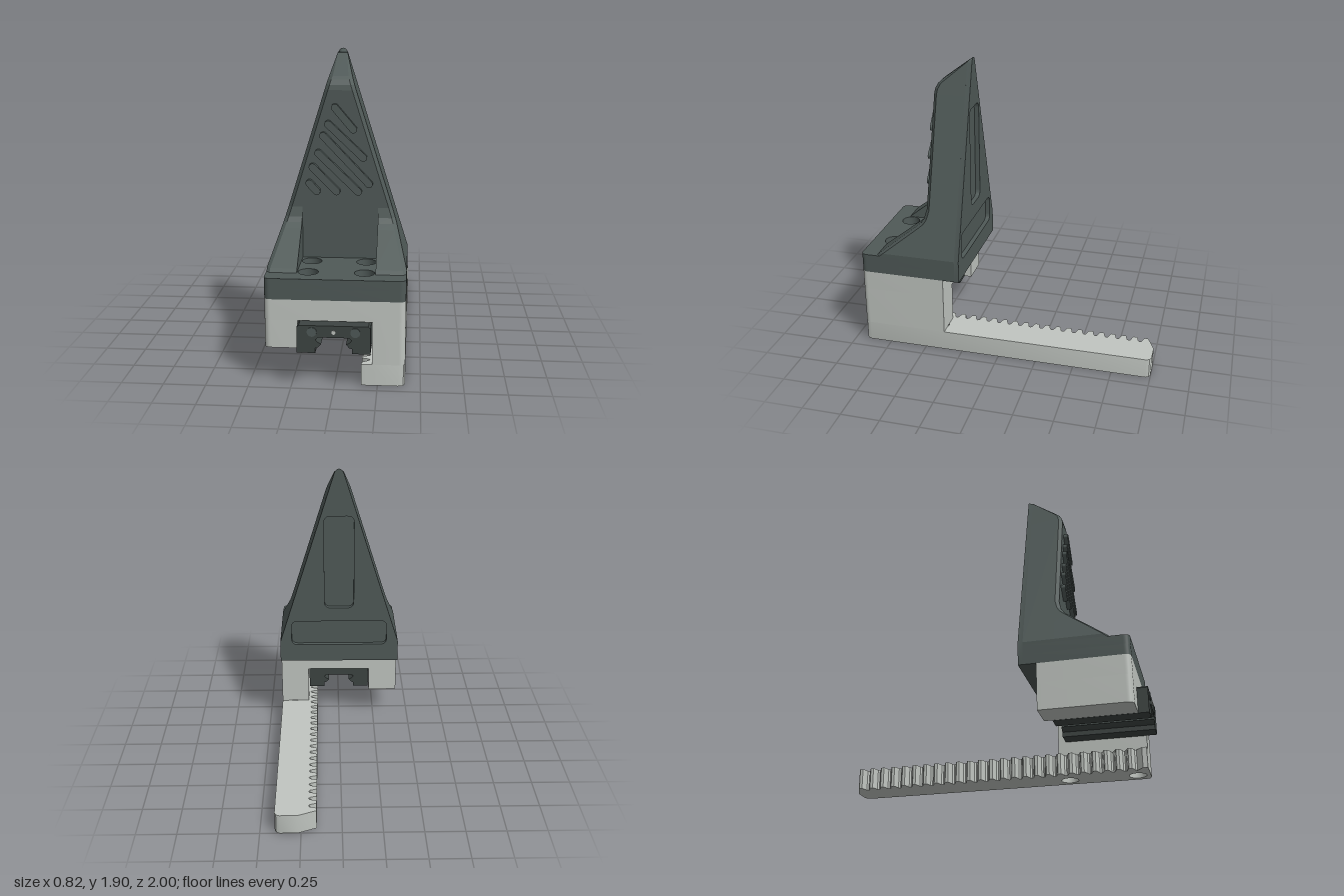
import * as THREE from 'three';
import { toCreasedNormals } from 'three/addons/utils/BufferGeometryUtils.js';

const dark = new THREE.MeshStandardMaterial({ color: 0x4f5957 });
const black = new THREE.MeshStandardMaterial({ color: 0x3d4442 });
const light = new THREE.MeshStandardMaterial({ color: 0xc0c5c0 });

const poly = (pts) => new THREE.Shape(pts.map(([a, b]) => new THREE.Vector2(a, b)));
const circle = (x, y, r) => new THREE.Path().absarc(x, y, r, 0, Math.PI * 2, true);

function extrude(shape, depth) {
  const g = new THREE.ExtrudeGeometry(shape, { depth, bevelEnabled: false, curveSegments: 10 });
  return toCreasedNormals(g, 0.6);
}

// Extrude an (x, z) outline upward from y0 to y1
const plan = (shape, y0, y1) => extrude(shape, y1 - y0).rotateX(Math.PI / 2).translate(0, y1, 0);

// Extrude an (x, y) outline from z0 to z1
const front = (shape, z0, z1) => extrude(shape, z1 - z0).translate(0, 0, z0);

// Rectangle with a radius for each corner: low-left, low-right, high-right, high-left
function rect(x0, x1, y0, y1, [a, b, c, d], Type = THREE.Shape) {
  const s = new Type();
  s.moveTo(x0 + a, y0).lineTo(x1 - b, y0);
  s.quadraticCurveTo(x1, y0, x1, y0 + b).lineTo(x1, y1 - c);
  s.quadraticCurveTo(x1, y1, x1 - c, y1).lineTo(x0 + d, y1);
  s.quadraticCurveTo(x0, y1, x0, y1 - d).lineTo(x0, y0 + a);
  s.quadraticCurveTo(x0, y0, x0 + a, y0);
  return s;
}

// Closed flat-faced solid through convex [x, y, z] rings, bottom to top
function loft(rings) {
  const v = [];
  const n = rings[0].length;
  const tri = (...p) => p.forEach((q) => v.push(...q));
  for (let i = 0; i + 1 < rings.length; i++) {
    for (let j = 0; j < n; j++) {
      const k = (j + 1) % n, lo = rings[i], hi = rings[i + 1];
      tri(lo[j], lo[k], hi[k]);
      tri(lo[j], hi[k], hi[j]);
    }
  }
  const top = rings[rings.length - 1], bottom = rings[0];
  for (let j = 1; j + 1 < n; j++) {
    tri(top[0], top[j], top[j + 1]);
    tri(bottom[0], bottom[j + 1], bottom[j]);
  }
  const g = new THREE.BufferGeometry();
  g.setAttribute('position', new THREE.Float32BufferAttribute(v, 3));
  g.computeVertexNormals();
  return g;
}

export function createModel() {
  const model = new THREE.Group();
  const add = (name, geometry, material) => {
    const m = new THREE.Mesh(geometry, material);
    m.name = name;
    model.add(m);
    return m;
  };

  // Lower bracket: slab, side wall and the leg that carries the rack
  const R = 0.04;
  add('bracketTop', plan(rect(-0.41, 0.41, 0.37, 0.93, [0, 0, R, R]), 0.39, 0.515), light);
  add('bracketWall', plan(rect(-0.41, -0.215, 0.37, 0.93, [0, 0, 0, R]), 0.22, 0.39), light);
  add('bracketLeg', plan(rect(0.218, 0.41, 0.37, 0.93, [0, 0, R, 0]), 0.13, 0.39), light);

  // Toothed rack with two screw holes in the underside
  const pitch = 0.0735;
  const outline = [[0.155, 0.93], [0.155, 0.9]];
  for (let i = 24; i >= 0; i--) {
    const z = -0.94 + i * pitch;
    outline.push([0.205, z + 0.037], [0.198, z + 0.026], [0.16, z + 0.015], [0.155, z + 0.009],
      [0.155, z - 0.009], [0.16, z - 0.015]);
    if (i) outline.push([0.198, z - 0.026]);
  }
  outline.push([0.27, -1], [0.38, -1], [0.4, -0.99], [0.41, -0.97], [0.41, 0.89], [0.4, 0.92], [0.37, 0.93]);
  const rack = poly(outline);
  rack.holes.push(circle(0.32, 0.85, 0.055), circle(0.32, 0.42, 0.055));
  add('rack', plan(rack, 0, 0.13), light);

  // Rail carriage in the slot
  const half = [[0.09, 0.315], [0.105, 0.3], [0.095, 0.288], [0.072, 0.275], [0.09, 0.255],
    [0.105, 0.25], [0.105, 0.22], [0.212, 0.22], [0.212, 0.375], [0.2, 0.386]];
  const mirrored = half.map(([x, y]) => [-x, y]).reverse();
  add('railCarriage', front(poly([...half, ...mirrored]), 0.42, 0.995), black);
  for (const [x, r, mat] of [[-0.125, 0.028, dark], [0.125, 0.028, dark], [0, 0.012, light]]) {
    const pin = new THREE.CylinderGeometry(r, r, 0.02, 20).rotateX(Math.PI / 2);
    add('carriagePin', pin.translate(x, 0.348, 0.99), mat);
  }

  // Base plate with counterbored screw holes
  for (const [y0, y1, r] of [[0.515, 0.58, 0.035], [0.58, 0.64, 0.06]]) {
    const s = rect(-0.41, 0.41, 0.29, 0.93, [0, 0, R, R]);
    for (const x of [-0.165, 0.165]) for (const z of [0.575, 0.79]) s.holes.push(circle(x, z, r));
    add('basePlate', plan(s, y0, y1), dark);
  }

  // Tower body, tapering upward with chamfered front edges
  const width = (y) => Math.min(0.41, 0.41 - (y - 0.66) * 0.3128);
  const back = 0.29;
  const body = [[0.64, 0.5], [0.66, 0.5], [1.67, 0.5], [1.7, 0.495], [1.73, 0.48], [1.75, 0.46], [1.874, 0.295]];
  add('towerBody', loft(body.map(([y, z]) => {
    const w = width(y), c = Math.min(0.022, w * 0.6, (z - back) * 0.8);
    return [[w, y, back], [-w, y, back], [-w, y, z - c], [-w + c, y, z], [w - c, y, z], [w, y, z - c]];
  })), dark);

  // Side ribs sweeping from the base into the tower
  const rib = [[0.64, 0.82], [0.66, 0.797], [0.84, 0.57], [0.87, 0.535], [0.9, 0.515], [0.96, 0.5]];
  for (const s of [1, -1]) {
    add('sideRib', loft(rib.map(([y, z]) => {
      const w = width(y), c = 0.022;
      const ring = [[w, y, back], [0.23, y, back], [0.23, y, z], [w - c, y, z], [w, y, z - c]];
      const side = ring.map(([x, h, d]) => [s * x, h, d]);
      return s > 0 ? side : side.reverse();
    })), dark);
  }

  // Rear panel with two recessed pockets and a rounded tip
  const panel = new THREE.Shape();
  panel.moveTo(-0.41, 0.515).lineTo(0.41, 0.515).lineTo(0.41, 0.66).lineTo(0.032, 1.868);
  panel.quadraticCurveTo(0.02, 1.9, 0, 1.9).quadraticCurveTo(-0.02, 1.9, -0.032, 1.868);
  panel.lineTo(-0.41, 0.66);
  const r = [0.045, 0.045, 0.045, 0.045];
  panel.holes.push(rect(-0.1, 0.1, 0.92, 1.58, r, THREE.Path), rect(-0.33, 0.33, 0.64, 0.82, r, THREE.Path));
  const panelGeo = front(panel, 0.26, back);
  const p = panelGeo.attributes.position;
  for (let i = 0; i < p.count; i++) {
    if (p.getZ(i) > 0.28) p.setY(i, Math.min(p.getY(i), 1.878));
  }
  add('rearPanel', panelGeo, dark);

  // Raised diagonal grip bars on the front face
  const bars = [[-0.185, 1.11, -0.14, 1.062], [-0.165, 1.21, -0.02, 1.062], [-0.13, 1.295, 0.11, 1.062],
    [-0.1, 1.4, 0.175, 1.11], [-0.07, 1.47, 0.14, 1.27], [-0.03, 1.57, 0.08, 1.44]];
  for (const [x0, y0, x1, y1] of bars) {
    const len = Math.hypot(x1 - x0, y1 - y0), a = Math.atan2(y1 - y0, x1 - x0), h = 0.022;
    const s = new THREE.Shape();
    s.absarc(0, 0, h, Math.PI / 2, Math.PI * 1.5).absarc(len, 0, h, -Math.PI / 2, Math.PI / 2);
    add('gripBar', front(s, 0, 0.04).rotateZ(a).translate(x0, y0, 0.488), dark);
  }
  return model;
}
